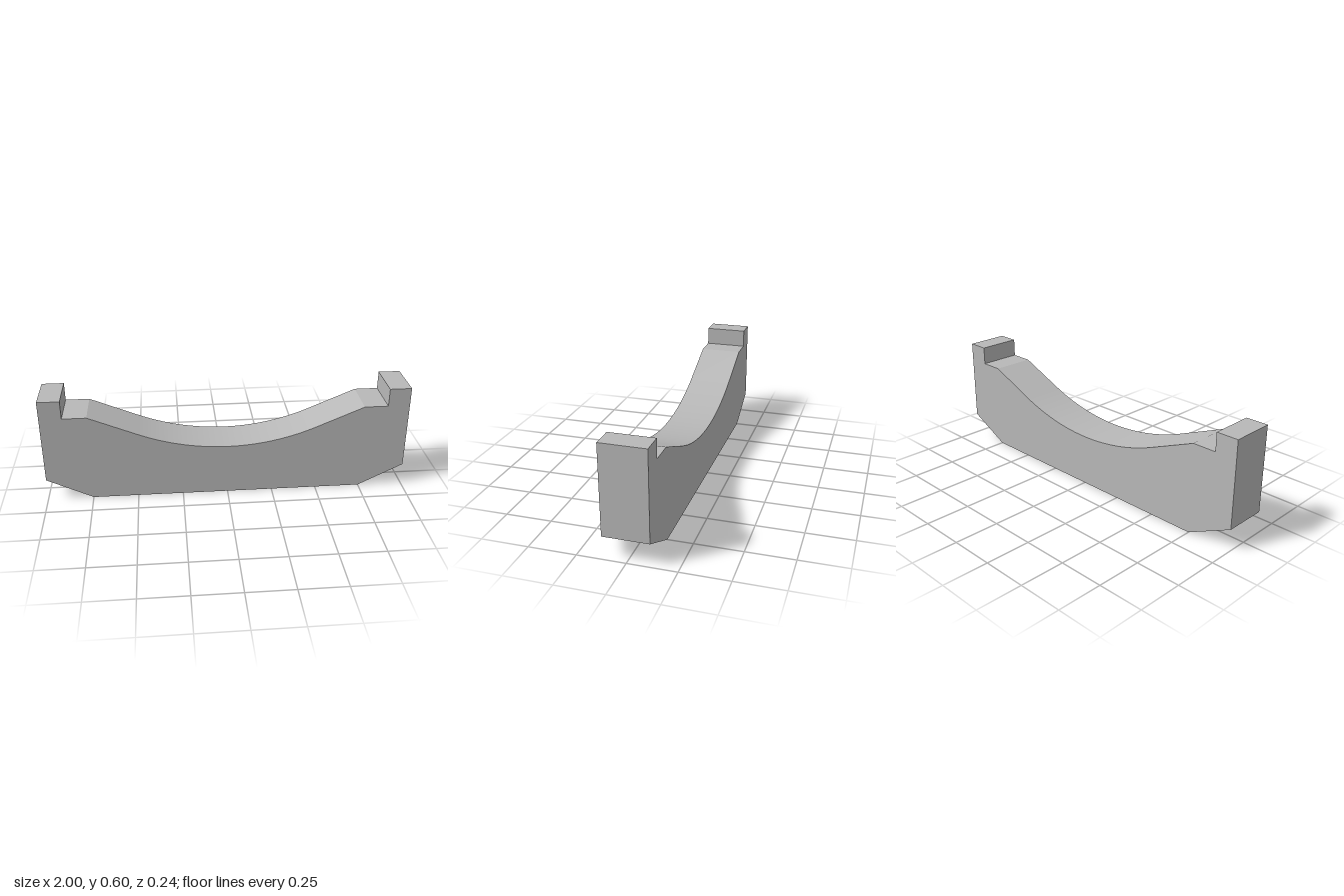
import * as THREE from 'three';

const DEPTH = 0.237;

// Outline of the cradle: chamfered base, end stops, ledges and a sagging top
function cradleShape() {
  const slope = Math.atan(0.42); // angle of the straight ramps
  const radius = 1.263;
  const sag = 0.287; // lowest point of the hollow
  const shape = new THREE.Shape();
  shape.moveTo(-0.75, 0);
  shape.lineTo(0.75, 0);
  shape.lineTo(1, 0.123);
  shape.lineTo(1, 0.596);
  shape.lineTo(0.88, 0.596);
  shape.lineTo(0.88, 0.495);
  shape.lineTo(0.75, 0.495);
  // Arc tangent to both ramps
  shape.absarc(0, sag + radius, radius, -Math.PI / 2 + slope, -Math.PI / 2 - slope, true);
  shape.lineTo(-0.75, 0.495);
  shape.lineTo(-0.88, 0.495);
  shape.lineTo(-0.88, 0.596);
  shape.lineTo(-1, 0.596);
  shape.lineTo(-1, 0.123);
  shape.closePath();
  return shape;
}

export function createModel() {
  const group = new THREE.Group();
  group.name = 'cradleSupport';

  const grey = new THREE.MeshStandardMaterial({ color: 0xb8b8b8 });
  grey.name = 'plain grey';

  const geometry = new THREE.ExtrudeGeometry(cradleShape(), {
    depth: DEPTH,
    bevelEnabled: false,
    curveSegments: 32,
  });
  geometry.translate(0, 0, -DEPTH / 2);

  const body = new THREE.Mesh(geometry, grey);
  body.name = 'cradleBody';
  group.add(body);
  return group;
}
